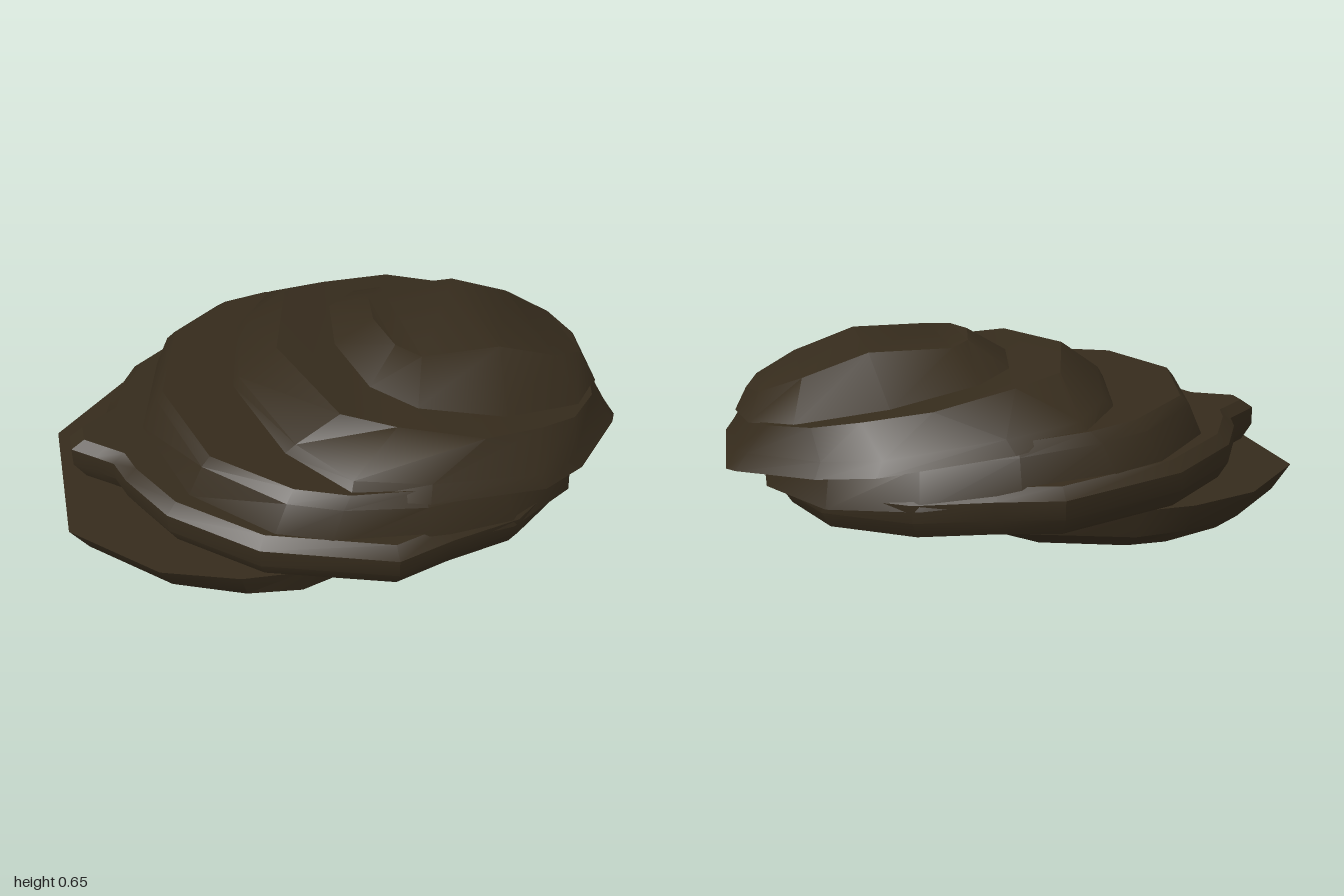
import * as THREE from 'three';
import { toCreasedNormals } from 'three/addons/utils/BufferGeometryUtils.js';

const stone = new THREE.MeshStandardMaterial({ color: 0x352b1c });

// One ring: the +z half outline [x, z, optional y] from left to right, on the tilted plane y = y0 + slope * x
const ring = (y0, slope, half) =>
  half.map(([x, z, y]) => new THREE.Vector3(x, y ?? y0 + slope * x, z));
const scaled = (half, s) => half.map(([x, z]) => [x * s, z * s]);
const mirror = (p) => new THREE.Vector3(p.x, p.y, -p.z);

// A slab: rings joined from bottom to top, mirrored across z = 0 and capped
function slab(name, rings) {
  const pos = [];
  const tri = (a, b, c) => {
    const area = b.clone().sub(a).cross(c.clone().sub(a)).length();
    if (area > 1e-7) for (const p of [a, b, c]) pos.push(p.x, p.y, p.z);
  };
  const quad = (a, b, c, d) => { tri(a, b, c); tri(a, c, d); };

  // sides
  const loops = rings.map((h) => [...h, ...h.map(mirror).reverse()]);
  for (let r = 0; r + 1 < loops.length; r++) {
    const lo = loops[r], hi = loops[r + 1];
    for (let i = 0; i < lo.length; i++) {
      const j = (i + 1) % lo.length;
      quad(lo[i], lo[j], hi[j], hi[i]);
    }
  }
  // caps, as strips from the front edge to the back edge
  const bottom = rings[0], top = rings[rings.length - 1];
  for (let i = 0; i + 1 < top.length; i++) {
    quad(top[i], top[i + 1], mirror(top[i + 1]), mirror(top[i]));
    quad(mirror(bottom[i]), mirror(bottom[i + 1]), bottom[i + 1], bottom[i]);
  }

  const g = new THREE.BufferGeometry();
  g.setAttribute('position', new THREE.Float32BufferAttribute(pos, 3));
  const mesh = new THREE.Mesh(toCreasedNormals(g, 0.6), stone);
  mesh.name = name;
  return mesh;
}

export function createModel() {
  const group = new THREE.Group();
  group.name = 'layeredRock';

  // base slab, pushed out to the left
  group.add(slab('baseSlab', [
    ring(0.015, 0.015, [[-0.88, 0.24], [-0.64, 0.47], [-0.42, 0.57], [-0.28, 0.58], [0, 0.5], [0.18, 0.31], [0.25, 0.1]]),
    ring(0.075, 0.015, [[-0.94, 0.27], [-0.69, 0.53], [-0.46, 0.64], [-0.28, 0.67], [0.05, 0.58], [0.25, 0.35], [0.32, 0.1]]),
    ring(0.17, 0.013, [[-1, 0.29], [-0.73, 0.57], [-0.48, 0.67], [-0.28, 0.69], [0.09, 0.6], [0.32, 0.37], [0.4, 0.1]]),
  ]));

  // widest slab, with a small nose on the left
  const wide = [[-0.955, 0.04], [-0.88, 0.1], [-0.82, 0.15], [-0.79, 0.25], [-0.68, 0.46], [-0.42, 0.69],
    [0, 0.825], [0.2, 0.76], [0.45, 0.7], [0.71, 0.5], [0.82, 0.2]];
  group.add(slab('wideSlab', [
    ring(0.15, -0.0446, scaled(wide, 0.96)),
    ring(0.205, -0.0446, wide),
    ring(0.265, -0.05, wide),
    ring(0.3, -0.05, scaled(wide, 0.95)),
  ]));

  // middle slab
  group.add(slab('middleSlab', [
    ring(0.266, -0.0987, [[-0.7, 0], [-0.6, 0.41], [-0.37, 0.66], [-0.2, 0.73], [0.12, 0.765], [0.43, 0.71], [0.7, 0.54], [0.87, 0.2]]),
    ring(0.39, -0.085, [[-0.645, 0], [-0.55, 0.41], [-0.32, 0.64], [-0.15, 0.7], [0.12, 0.725], [0.42, 0.67], [0.68, 0.5], [0.84, 0.2]]),
    ring(0.425, -0.08, [[-0.62, 0], [-0.52, 0.4], [-0.29, 0.61], [-0.12, 0.67], [0.12, 0.68], [0.4, 0.63], [0.66, 0.47], [0.82, 0.2]]),
  ]));

  // upper slab, overhanging on the right
  group.add(slab('upperSlab', [
    ring(0.404, -0.1387, [[-0.37, 0], [-0.28, 0.42], [-0.12, 0.67], [0.13, 0.72], [0.55, 0.67], [0.73, 0.56], [0.97, 0.3], [1, 0.25]]),
    ring(0.445, -0.13, [[-0.35, 0], [-0.24, 0.42], [-0.1, 0.63], [0.15, 0.67], [0.53, 0.65], [0.71, 0.54], [0.93, 0.29], [0.965, 0.22]]),
    ring(0.557, -0.157, [[-0.21, 0], [-0.09, 0.42], [0.08, 0.5], [0.36, 0.575], [0.58, 0.52], [0.73, 0.46], [0.86, 0.32], [0.92, 0.15]]),
  ]));

  // domed cap
  group.add(slab('capSlab', [
    ring(0.572, -0.177, [[0, 0], [0.05, 0.28], [0.18, 0.41], [0.48, 0.46], [0.78, 0.38], [0.92, 0.22], [0.96, 0]]),
    ring(0, 0, [[0.14, 0, 0.655], [0.17, 0.17, 0.645], [0.24, 0.25, 0.635], [0.52, 0.25, 0.632],
      [0.74, 0.24, 0.555], [0.88, 0.15, 0.495], [0.92, 0, 0.48]]),
  ]));

  return group;
}
